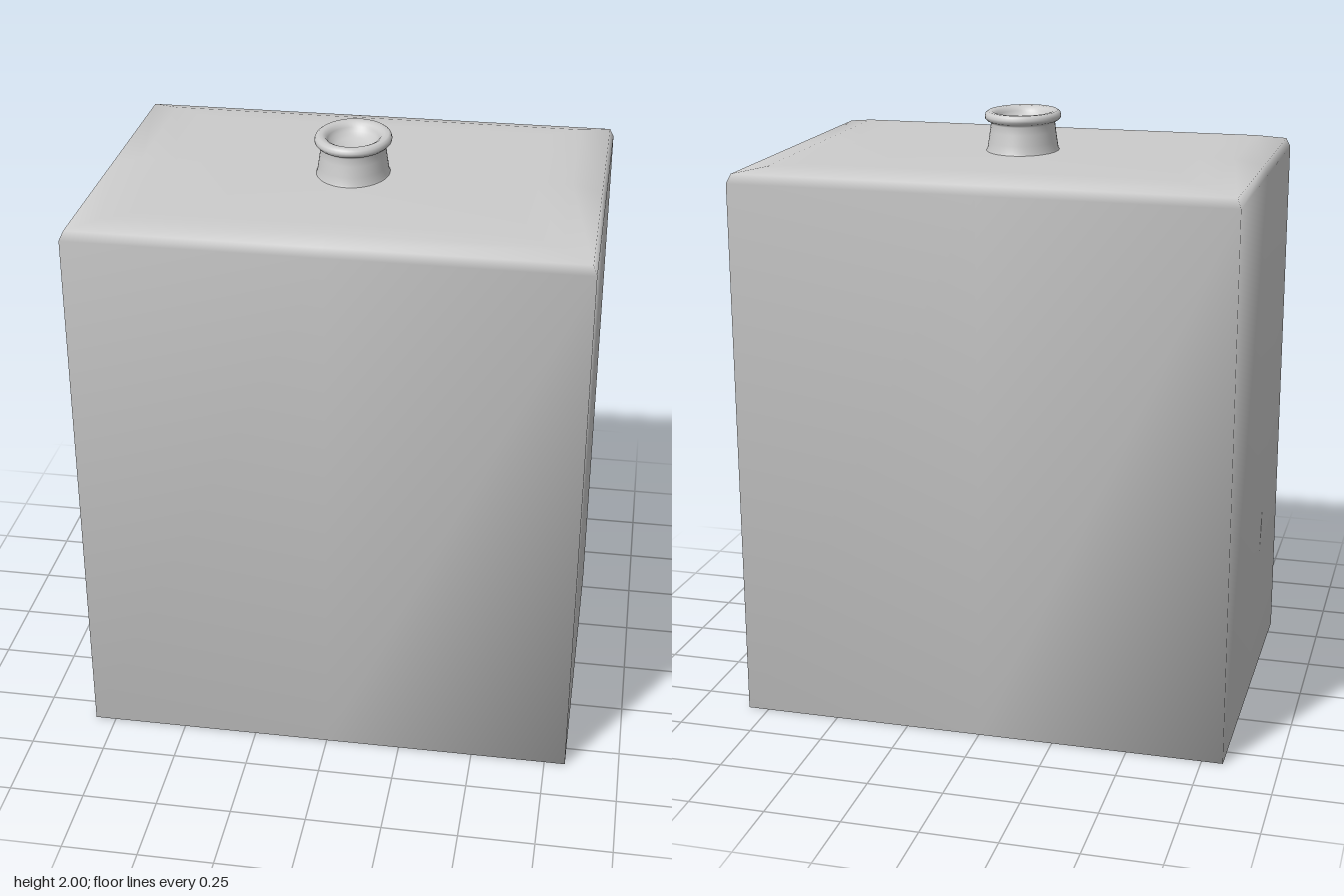
import * as THREE from 'three';

// Closed skin over rectangular rings [halfWidth, halfDepth, y], with shared, smooth normals
function loftRectangles(rings) {
  const outline = [[1, 1], [1, 0], [1, -1], [0, -1], [-1, -1], [-1, 0], [-1, 1], [0, 1]];
  const n = outline.length;
  const positions = [], index = [];
  for (const [hx, hz, y] of rings) {
    for (const [x, z] of outline) positions.push(x * hx, y, z * hz);
  }
  for (let r = 0; r < rings.length - 1; r++) {
    for (let i = 0; i < n; i++) {
      const a = r * n + i, b = r * n + (i + 1) % n;
      index.push(a, b, b + n, a, b + n, a + n);
    }
  }
  // End caps fan from a centre point
  const last = (rings.length - 1) * n;
  const bottom = rings.length * n, top = bottom + 1;
  positions.push(0, rings[0][2], 0, 0, rings[rings.length - 1][2], 0);
  for (let i = 0; i < n; i++) {
    const j = (i + 1) % n;
    index.push(bottom, j, i, top, last + i, last + j);
  }
  const geometry = new THREE.BufferGeometry();
  geometry.setAttribute('position', new THREE.Float32BufferAttribute(positions, 3));
  geometry.setIndex(index);
  geometry.computeVertexNormals();
  return geometry;
}

export function createModel() {
  const model = new THREE.Group();
  model.name = 'flask';
  const material = new THREE.MeshStandardMaterial({ color: 0xcccccc });

  // Rectangular body with a softly bevelled shoulder
  const body = new THREE.Mesh(loftRectangles([
    [0.82, 0.585, 0],
    [0.82, 0.585, 1.82],
    [0.807, 0.573, 1.85],
    [0.71, 0.505, 1.867],
    [0.59, 0.425, 1.87],
  ]), material);
  body.name = 'body';
  model.add(body);

  // Oval neck, rolled lip and shallow bowl in one profile
  const profile = [
    [0.122, 1.866], [0.117, 1.875], [0.113, 1.9], [0.108, 1.935], [0.105, 1.96],
    [0.109, 1.966], [0.118, 1.97], [0.124, 1.977], [0.125, 1.985], [0.122, 1.994],
    [0.114, 2], [0.1, 1.999], [0.09, 1.994], [0.083, 1.984], [0.078, 1.972],
    [0.06, 1.957], [0.03, 1.948], [0, 1.946],
  ].map(([x, y]) => new THREE.Vector2(x, y));
  const neck = new THREE.Mesh(new THREE.LatheGeometry(profile, 48), material);
  neck.name = 'neck';
  neck.scale.z = 1.21;
  model.add(neck);

  return model;
}
